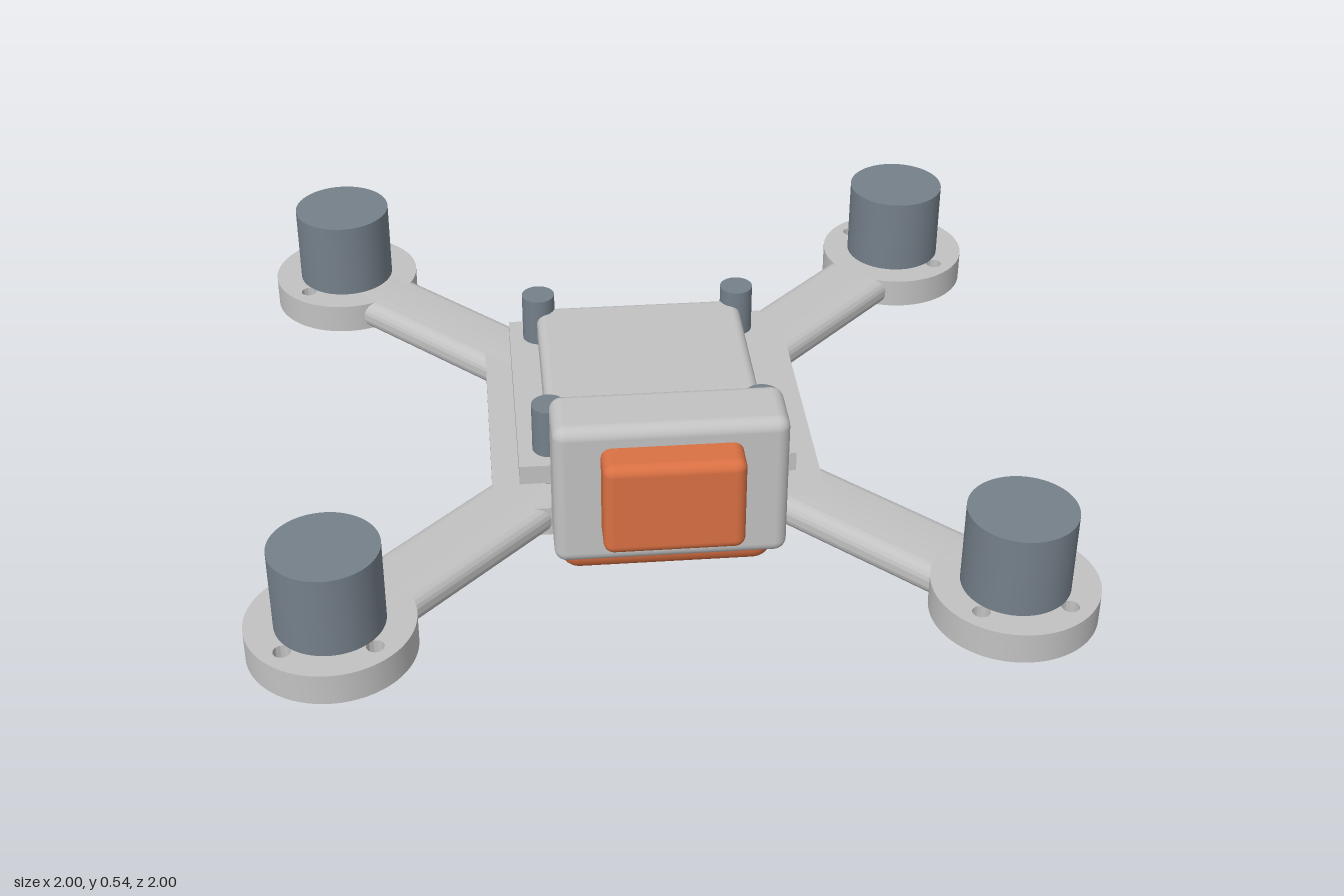
import * as THREE from 'three';
import { toCreasedNormals } from 'three/addons/utils/BufferGeometryUtils.js';
import { RoundedBoxGeometry } from 'three/addons/geometries/RoundedBoxGeometry.js';

const mat = (name, color) => {
  const m = new THREE.MeshStandardMaterial({ color });
  m.name = name;
  return m;
};

// Circular hole for a shape
const hole = (x, y, r) => new THREE.Path().absarc(x, y, r, 0, Math.PI * 2, true);

// Shape drawn in (x, -z), laid flat and thickened upwards from y0 to y1
function slab(shape, y0, y1) {
  const g = new THREE.ExtrudeGeometry(shape, { depth: y1 - y0, bevelEnabled: false, curveSegments: 48 });
  g.rotateX(-Math.PI / 2).translate(0, y0, 0);
  return toCreasedNormals(g, 0.6);
}

function roundedRect(w, h, r) {
  const s = new THREE.Shape(), x = w / 2 - r, y = h / 2 - r, q = Math.PI / 2;
  s.absarc(x, -y, r, -q, 0, false);
  s.absarc(x, y, r, 0, q, false);
  s.absarc(-x, y, r, q, 2 * q, false);
  s.absarc(-x, -y, r, 2 * q, 3 * q, false);
  return s;
}

function square(h) {
  const s = new THREE.Shape();
  s.moveTo(-h, -h).lineTo(h, -h).lineTo(h, h).lineTo(-h, h).closePath();
  return s;
}

export function createModel() {
  const model = new THREE.Group();
  model.name = 'quadcopterFrame';
  const grey = mat('lightGrey', 0xc2c2c2);
  const steel = mat('steelGrey', 0x75808a);
  const orange = mat('orange', 0xd97043);
  const green = mat('green', 0x2e8b57);

  const add = (name, geometry, material) => {
    const mesh = new THREE.Mesh(geometry, material);
    mesh.name = name;
    model.add(mesh);
    return mesh;
  };
  // Rounded block given by its limits
  const block = (name, material, r, [x0, x1], [y0, y1], [z0, z1]) =>
    add(name, new RoundedBoxGeometry(x1 - x0, y1 - y0, z1 - z0, 5, r), material)
      .position.set((x0 + x1) / 2, (y0 + y1) / 2, (z0 + z1) / 2);

  // Base plate with a cable hole near the front
  const base = square(0.413);
  base.holes.push(hole(0, -0.295, 0.08));
  add('basePlate', slab(base, 0.06, 0.14), grey);

  // Upper board, notched by the same cable hole
  const b = 0.345, dy = b - 0.295, dx = Math.sqrt(0.08 ** 2 - dy ** 2);
  const board = new THREE.Shape();
  board.moveTo(-b, -b).lineTo(-dx, -b);
  board.absarc(0, -0.295, 0.08, Math.atan2(-dy, -dx), Math.atan2(-dy, dx), true);
  board.lineTo(b, -b).lineTo(b, b).lineTo(-b, b).closePath();
  add('upperBoard', slab(board, 0.168, 0.22), grey);

  block('controllerBox', grey, 0.025, [-0.272, 0.272], [0.215, 0.308], [-0.275, 0.275]);

  // Motor mount ring with a central hole and four screw holes
  const ring = new THREE.Shape().absarc(0, 0, 0.2, 0, Math.PI * 2, false);
  ring.holes.push(hole(0, 0, 0.07));
  for (const sx of [-1, 1]) for (const sy of [-1, 1]) ring.holes.push(hole(sx * 0.105, sy * 0.105, 0.021));
  const ringGeo = slab(ring, 0.06, 0.14);

  // Arm with rounded long edges, running out along +z
  const armStart = 0.35, armEnd = 1.1;
  const armGeo = toCreasedNormals(new THREE.ExtrudeGeometry(roundedRect(0.2, 0.08, 0.036),
    { depth: armEnd - armStart, bevelEnabled: false, curveSegments: 8 }), 0.6);
  armGeo.translate(0, 0.1, armStart);

  const motorGeo = new THREE.CylinderGeometry(0.13, 0.13, 0.21, 64);
  const postGeo = new THREE.CylinderGeometry(0.043, 0.043, 0.21, 32);

  // One arm, mount, motor and post per corner
  for (const sx of [-1, 1]) {
    for (const sz of [-1, 1]) {
      const tag = (sz > 0 ? 'front' : 'back') + (sx > 0 ? 'Left' : 'Right');
      add(tag + 'Arm', armGeo, grey).rotation.y = Math.atan2(sx, sz);
      add(tag + 'MotorMount', ringGeo, grey).position.set(sx * 0.8, 0, sz * 0.8);
      add(tag + 'Motor', motorGeo, steel).position.set(sx * 0.8, 0.245, sz * 0.8);
      add(tag + 'Post', postGeo, steel).position.set(sx * 0.266, 0.245, sz * 0.266);
    }
  }

  // Camera at the front
  block('cameraBody', grey, 0.03, [-0.275, 0.275], [0.163, 0.54], [0.507, 0.675]);
  block('cameraLens', orange, 0.025, [-0.165, 0.165], [0.247, 0.49], [0.62, 0.762]);
  block('cameraFoot', orange, 0.05, [-0.26, 0.26], [0.06, 0.19], [0.435, 0.58]);

  // Sensor under the base
  block('bottomSensor', green, 0.02, [-0.122, 0.122], [0, 0.1], [-0.122, 0.122]);

  return model;
}
